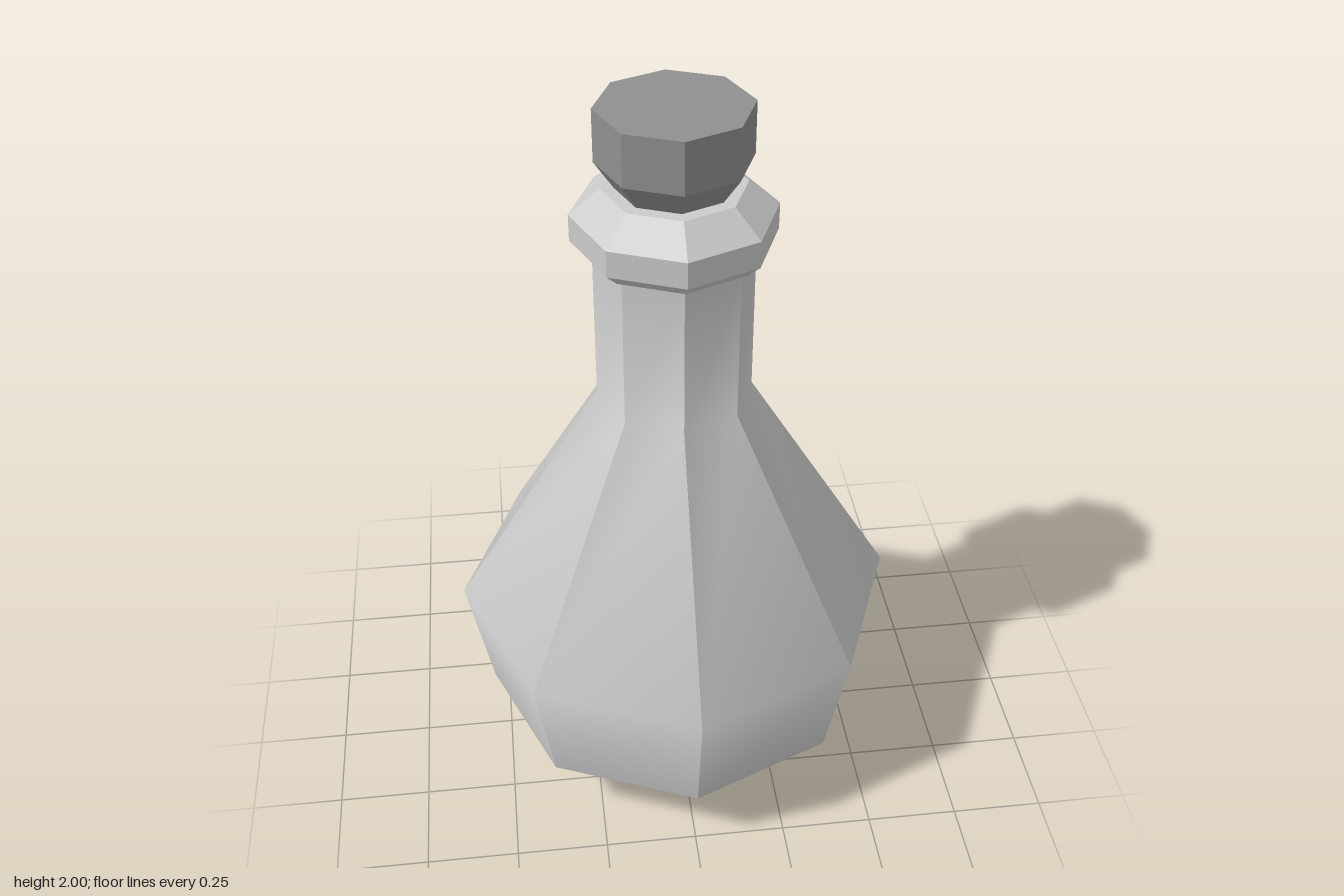
import * as THREE from 'three';

const SIDES = 8;
const grey = new THREE.MeshStandardMaterial({ color: 0xcccccc });
const stopperGrey = new THREE.MeshStandardMaterial({ color: 0x909090 });

// Eight-sided turned shape. Each run of [radius, height] points, listed bottom to top,
// is shaded smoothly along its height but keeps hard edges between sides and runs.
function faceted(name, runs, material) {
  const positions = [], indices = [];
  for (const run of runs) {
    for (let s = 0; s < SIDES; s++) {
      const base = positions.length / 3;
      for (const [r, y] of run) {
        for (const k of [s, s + 1]) {
          const a = (k / SIDES) * Math.PI * 2;
          positions.push(r * Math.sin(a), y, r * Math.cos(a));
        }
      }
      for (let i = 0; i < run.length - 1; i++) {
        const b = base + i * 2;
        if (run[i][0] > 0) indices.push(b, b + 1, b + 3);
        if (run[i + 1][0] > 0) indices.push(b, b + 3, b + 2);
      }
    }
  }
  const geometry = new THREE.BufferGeometry();
  geometry.setAttribute('position', new THREE.Float32BufferAttribute(positions, 3));
  geometry.setIndex(indices);
  geometry.computeVertexNormals();
  const mesh = new THREE.Mesh(geometry, material);
  mesh.name = name;
  return mesh;
}

// Splits a profile into separate flat bands
const bands = (points) => points.slice(1).map((p, i) => [points[i], p]);

export function createModel() {
  const group = new THREE.Group();
  group.name = 'bottle';

  // Rounded base
  group.add(faceted('base', bands([[0, 0], [0.11, 0.003], [0.23, 0.027], [0.36, 0.065], [0.535, 0.205]]), grey));

  // Belly, shoulder and neck in one continuous sweep
  group.add(faceted('bodyAndNeck', [[[0.535, 0.205], [0.6, 0.55], [0.203, 1.205], [0.203, 1.635]]], grey));

  // Lip ring around the mouth
  group.add(faceted('lip', bands([[0.2, 1.625], [0.22, 1.625], [0.257, 1.66], [0.257, 1.73], [0.18, 1.795], [0.13, 1.795]]), grey));

  // Stopper
  group.add(faceted('stopper', bands([[0, 1.79], [0.142, 1.79], [0.193, 1.865], [0.193, 2], [0, 2]]), stopperGrey));

  return group;
}
